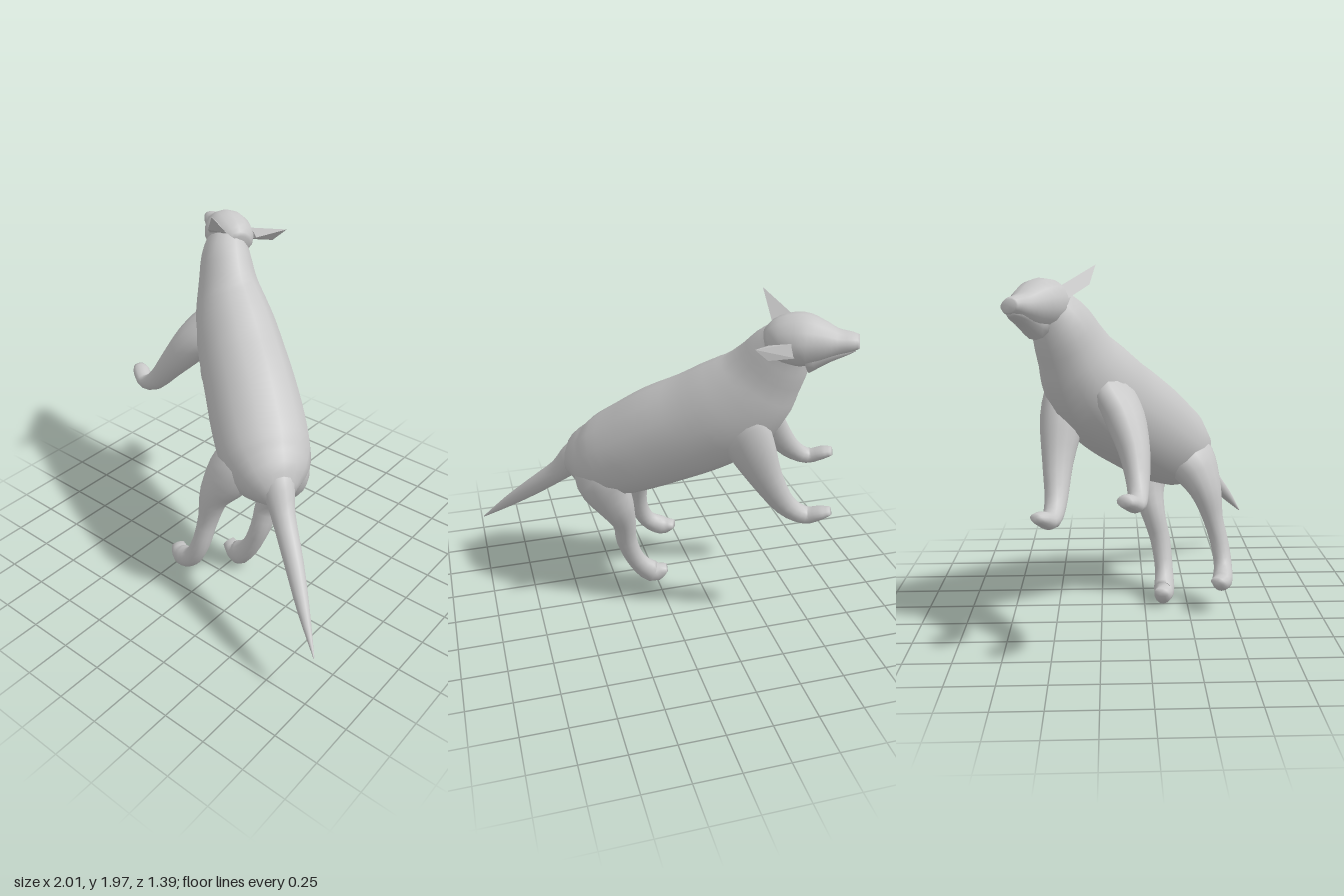
import * as THREE from 'three';

const SIDES = 14;
const fur = new THREE.MeshStandardMaterial({ color: 0xc8c8c8, side: THREE.DoubleSide });
fur.name = 'grey fur';

// Directions across the body and across the tilted head
const bodySide = new THREE.Vector3(0.607, 0, -0.795).normalize();
const headSide = new THREE.Vector3(0.387, -0.3, -0.87).normalize();

// Smooth closed skin over sections [x, y, z, half width, half height]
function loft(name, sections, side, steps = 3) {
  const path = new THREE.CatmullRomCurve3(
    sections.map(s => new THREE.Vector3(s[0], s[1], s[2])), false, 'catmullrom', 0.5);
  const size = new THREE.CatmullRomCurve3(
    sections.map(s => new THREE.Vector3(s[3], s[4] ?? s[3], 0)), false, 'catmullrom', 0.5);
  const count = (sections.length - 1) * steps;
  const positions = [], index = [];
  const ring = (t, scale) => {
    const c = path.getPoint(t), r = size.getPoint(t), tangent = path.getTangent(t);
    const across = side.clone().addScaledVector(tangent, -side.dot(tangent)).normalize();
    const up = tangent.clone().cross(across);
    for (let j = 0; j < SIDES; j++) {
      const a = (j / SIDES) * Math.PI * 2;
      const p = c.clone()
        .addScaledVector(across, Math.cos(a) * r.x * scale)
        .addScaledVector(up, Math.sin(a) * r.y * scale);
      positions.push(p.x, p.y, p.z);
    }
  };
  ring(0, 0);
  for (let i = 0; i <= count; i++) ring(i / count, 1);
  ring(1, 0);
  for (let i = 0; i < count + 2; i++) {
    for (let j = 0; j < SIDES; j++) {
      const k = (j + 1) % SIDES;
      const a = i * SIDES + j, b = i * SIDES + k, c = b + SIDES, d = a + SIDES;
      index.push(a, b, c, a, c, d);
    }
  }
  const geometry = new THREE.BufferGeometry();
  geometry.setAttribute('position', new THREE.Float32BufferAttribute(positions, 3));
  geometry.setIndex(index);
  geometry.computeVertexNormals();
  const mesh = new THREE.Mesh(geometry, fur);
  mesh.name = name;
  return mesh;
}

// Pointed ear with a folded outer edge, made of flat faces
function ear(name, corners) {
  const faces = [[0, 3, 4], [3, 2, 4], [0, 2, 3], [1, 0, 4], [2, 1, 4]];
  const geometry = new THREE.BufferGeometry().setFromPoints(
    faces.flat().map(i => corners[i]));
  geometry.computeVertexNormals();
  const mesh = new THREE.Mesh(geometry, fur);
  mesh.name = name;
  return mesh;
}

export function createModel() {
  const model = new THREE.Group();
  model.name = 'rearing dog';

  // Trunk from rump to neck, ending inside the skull
  model.add(loft('body', [
    [0.48, 0.80, 0.31, 0.08, 0.07],
    [0.395, 0.845, 0.255, 0.19, 0.18],
    [0.29, 0.89, 0.175, 0.25, 0.24],
    [0.15, 0.99, 0.065, 0.265, 0.265],
    [0.00, 1.105, -0.05, 0.26, 0.28],
    [-0.16, 1.215, -0.17, 0.25, 0.28],
    [-0.29, 1.325, -0.265, 0.235, 0.275],
    [-0.385, 1.44, -0.335, 0.205, 0.245],
    [-0.45, 1.56, -0.385, 0.17, 0.20],
    [-0.50, 1.68, -0.435, 0.145, 0.165],
    [-0.535, 1.79, -0.50, 0.105, 0.11],
  ], bodySide));

  // Head with muzzle and lower jaw
  model.add(loft('head', [
    [-0.42, 1.75, -0.45, 0.07, 0.07],
    [-0.48, 1.77, -0.485, 0.125, 0.115],
    [-0.57, 1.78, -0.53, 0.14, 0.13],
    [-0.65, 1.78, -0.575, 0.107, 0.105],
    [-0.72, 1.78, -0.61, 0.073, 0.066],
    [-0.78, 1.787, -0.64, 0.057, 0.046],
    [-0.815, 1.79, -0.655, 0.04, 0.032],
  ], headSide));
  model.add(loft('lowerJaw', [
    [-0.59, 1.70, -0.545, 0.09, 0.09],
    [-0.68, 1.73, -0.595, 0.062, 0.052],
    [-0.76, 1.75, -0.63, 0.043, 0.03],
    [-0.80, 1.757, -0.65, 0.022, 0.016],
  ], headSide));

  // Ears mirrored across the tilted head
  const corners = [
    [-0.60, 1.80, -0.41], [-0.56, 1.87, -0.43], [-0.46, 1.84, -0.39],
    [-0.51, 1.875, -0.29], [-0.455, 1.97, -0.26],
  ].map(p => new THREE.Vector3(...p));
  const middle = new THREE.Vector3(-0.357, 1.895, -0.48);
  const mirrored = corners.map(p => p.clone().addScaledVector(
    headSide, -2 * p.clone().sub(middle).dot(headSide)));
  model.add(ear('leftEar', corners), ear('rightEar', mirrored));

  // Front legs, blending out of the shoulders and bent at the wrist
  model.add(loft('leftFrontLeg', [
    [-0.32, 1.45, -0.24, 0.04, 0.08],
    [-0.42, 1.34, -0.18, 0.08, 0.15],
    [-0.52, 1.215, -0.12, 0.095, 0.13],
    [-0.635, 1.065, -0.075, 0.077, 0.09],
    [-0.75, 0.925, -0.06, 0.055, 0.064],
    [-0.86, 0.86, -0.07, 0.05, 0.044],
    [-0.94, 0.89, -0.11, 0.052, 0.038],
    [-0.985, 0.905, -0.135, 0.035, 0.025],
  ], bodySide));
  model.add(loft('rightFrontLeg', [
    [-0.29, 1.43, -0.36, 0.04, 0.08],
    [-0.30, 1.31, -0.41, 0.085, 0.15],
    [-0.36, 1.17, -0.445, 0.10, 0.135],
    [-0.455, 0.975, -0.465, 0.077, 0.09],
    [-0.57, 0.80, -0.47, 0.058, 0.062],
    [-0.68, 0.73, -0.49, 0.052, 0.048],
    [-0.75, 0.755, -0.53, 0.05, 0.038],
    [-0.80, 0.775, -0.555, 0.032, 0.022],
  ], bodySide));

  // Hind legs with broad thighs, hocks and pointed heels
  model.add(loft('leftHindLeg', [
    [0.21, 1.02, 0.18, 0.05, 0.10],
    [0.17, 0.92, 0.235, 0.10, 0.18],
    [0.13, 0.805, 0.295, 0.12, 0.17],
    [0.075, 0.67, 0.36, 0.085, 0.11],
    [0.055, 0.51, 0.40, 0.058, 0.064],
    [0.035, 0.36, 0.44, 0.052, 0.056],
    [-0.02, 0.24, 0.455, 0.052, 0.055],
    [-0.115, 0.187, 0.44, 0.058, 0.06],
    [-0.185, 0.205, 0.405, 0.04, 0.024],
  ], bodySide));
  model.add(loft('rightHindLeg', [
    [0.30, 1.00, 0.08, 0.05, 0.10],
    [0.33, 0.90, 0.06, 0.10, 0.17],
    [0.34, 0.79, 0.045, 0.115, 0.165],
    [0.275, 0.64, 0.03, 0.092, 0.118],
    [0.215, 0.49, 0.06, 0.072, 0.07],
    [0.195, 0.34, 0.10, 0.06, 0.062],
    [0.13, 0.17, 0.12, 0.052, 0.058],
    [0.03, 0.07, 0.115, 0.058, 0.072],
    [-0.055, 0.095, 0.095, 0.04, 0.024],
  ], bodySide));

  // Tapering tail
  model.add(loft('tail', [
    [0.36, 0.97, 0.21, 0.06],
    [0.44, 0.87, 0.275, 0.09],
    [0.54, 0.74, 0.35, 0.066],
    [0.70, 0.58, 0.465, 0.052],
    [0.85, 0.43, 0.58, 0.033],
    [1.0, 0.28, 0.69, 0.003],
  ], bodySide));

  return model;
}
